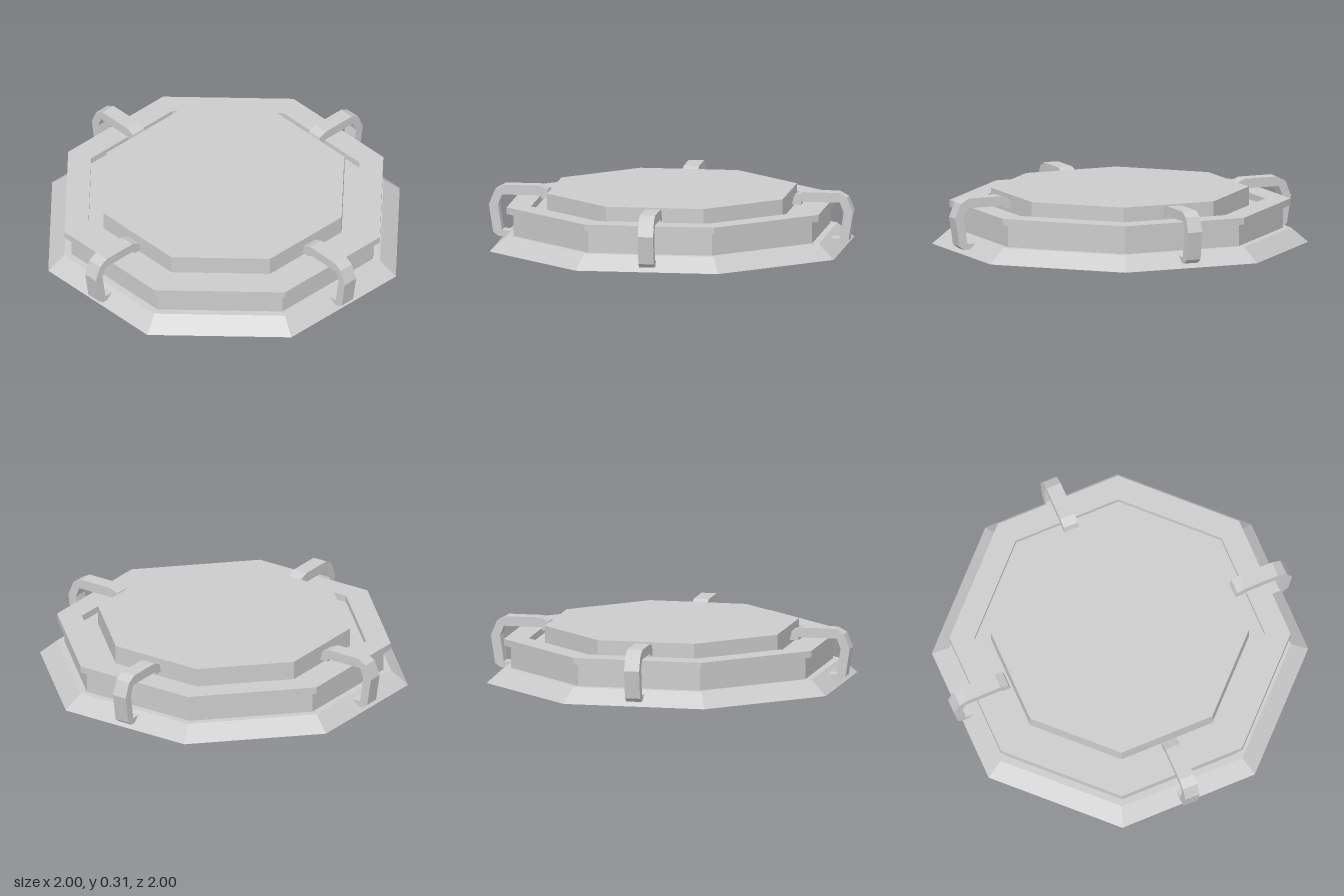
import * as THREE from 'three';

const material = new THREE.MeshStandardMaterial({ color: 0xcccccc, flatShading: true });

// Octagonal solid turned from [apothem, y] points, listed from bottom to top, flats facing the axes
function octagon(name, points) {
  const profile = points.map(([a, y]) => new THREE.Vector2(a / Math.cos(Math.PI / 8), y));
  const mesh = new THREE.Mesh(new THREE.LatheGeometry(profile, 8, Math.PI / 8), material);
  mesh.name = name;
  return mesh;
}

// Bent clamp: side outline in x/y, extruded across its width
function clampGeometry() {
  const outline = [
    [0.665, 0.24], [0.714, 0.24], [0.714, 0.257], [0.928, 0.257], [0.949, 0.203], [0.928, 0.06],
    [0.87, 0.06], [0.87, 0.027], [0.944, 0.027], [0.976, 0.05], [1, 0.203],
    [0.967, 0.283], [0.917, 0.31], [0.725, 0.31], [0.677, 0.29],
  ];
  const shape = new THREE.Shape(outline.map(([x, y]) => new THREE.Vector2(x, y)));
  const width = 0.084;
  return new THREE.ExtrudeGeometry(shape, { depth: width, bevelEnabled: false })
    .translate(0, 0, -width / 2);
}

export function createModel() {
  const model = new THREE.Group();
  model.name = 'octagonalHatch';

  // Sloped foot
  model.add(octagon('base', [[0, 0], [0.945, 0], [0.858, 0.08], [0, 0.08]]));

  // Upright body, whose top is the groove floor
  model.add(octagon('body', [[0.82, 0.08], [0.82, 0.203], [0, 0.203]]));

  // Overhanging rim
  model.add(octagon('rim', [[0.73, 0.203], [0.857, 0.203], [0.857, 0.24], [0.73, 0.24], [0.73, 0.203]]));

  // Raised lid
  model.add(octagon('lid', [[0.647, 0.203], [0.647, 0.306], [0, 0.306]]));

  // Four clamps, one per side
  const geometry = clampGeometry();
  ['left', 'back', 'right', 'front'].forEach((side, i) => {
    const clamp = new THREE.Mesh(geometry, material);
    clamp.name = side + 'Clamp';
    clamp.rotation.y = i * Math.PI / 2;
    model.add(clamp);
  });

  return model;
}
